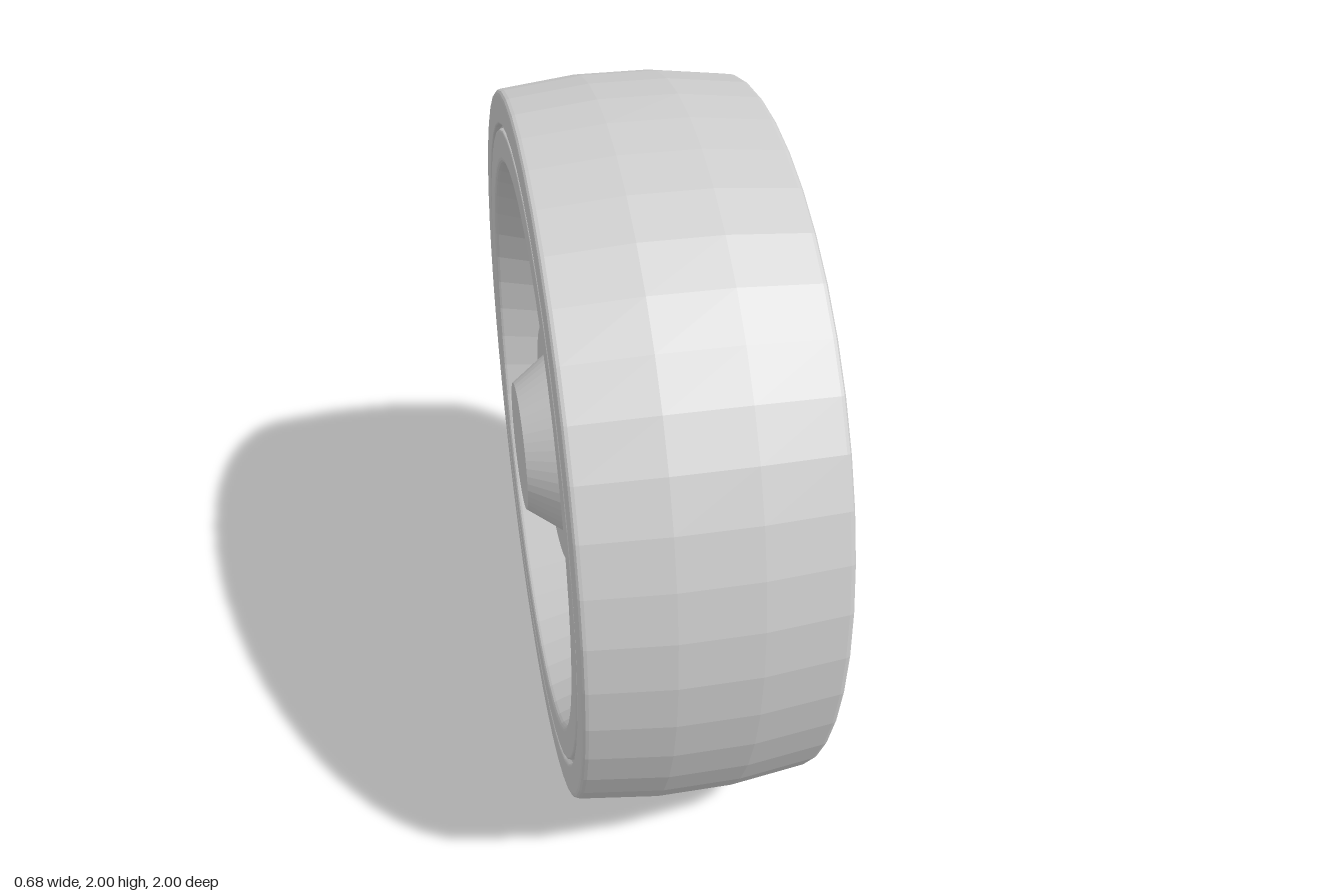
import * as THREE from 'three';

const SEGMENTS = 48;

// Turns a list of [radius, x, fillet] corners into lathe points, rounding corners that have a fillet
function roundCorners(corners, steps = 3) {
  const out = [];
  corners.forEach(([r, x, fillet], i) => {
    const p = new THREE.Vector2(r, x);
    if (!fillet) { out.push(p); return; }
    const toward = ([qr, qx]) => new THREE.Vector2(qr, qx).sub(p).setLength(fillet).add(p);
    const curve = new THREE.QuadraticBezierCurve(toward(corners[i - 1]), p, toward(corners[i + 1]));
    out.push(...curve.getPoints(steps));
  });
  return out;
}

// Mirrors the +x half of a profile so it runs from -x to +x
function mirrorProfile(half) {
  const other = half.map((p) => new THREE.Vector2(p.x, -p.y)).reverse();
  return [...other, ...half];
}

// Revolves a profile around the x axis
function revolve(name, points) {
  const geometry = new THREE.LatheGeometry(points, SEGMENTS);
  geometry.rotateZ(-Math.PI / 2);
  const material = new THREE.MeshStandardMaterial({ color: 0xcccccc, flatShading: true });
  const mesh = new THREE.Mesh(geometry, material);
  mesh.name = name;
  return mesh;
}

export function createModel() {
  const wheel = new THREE.Group();
  wheel.name = 'wheel';

  // Tyre: crowned tread, rounded shoulders, small chamfer at the rim joint
  const tyre = mirrorProfile(roundCorners([
    [1, 0.1],
    [0.975, 0.315, 0.014],
    [0.888, 0.315, 0.005],
    [0.884, 0.3],
    [0.88, 0.3],
  ]));
  tyre.push(tyre[0].clone());
  wheel.add(revolve('tyre', tyre));

  // Rim, recessed web and hub on both sides
  const core = mirrorProfile(roundCorners([
    [0.88, 0.3],
    [0.876, 0.3],
    [0.872, 0.315, 0.005],
    [0.787, 0.315, 0.012],
    [0.715, 0.1, 0.022],
    [0.345, 0.1, 0.015],
    [0.338, 0.245, 0.012],
    [0.24, 0.245],
  ]));
  wheel.add(revolve('rimAndHub', core));

  // Axle with tapered ends
  const axle = mirrorProfile([[0.25, 0.245], [0.18, 0.34], [0, 0.34]]
    .map(([r, x]) => new THREE.Vector2(r, x)));
  wheel.add(revolve('axle', axle));

  wheel.position.y = 1;
  const model = new THREE.Group();
  model.add(wheel);
  return model;
}
